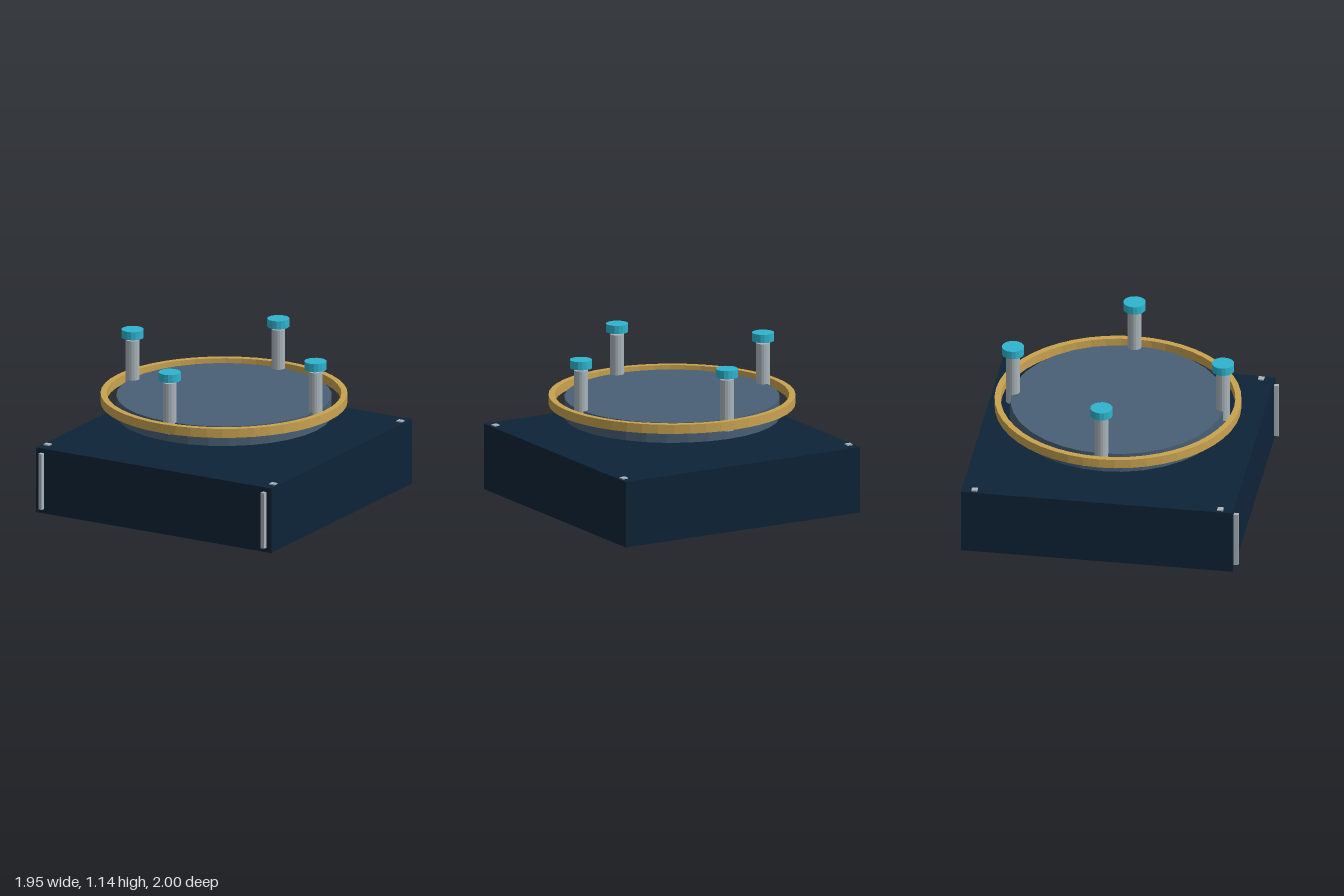
import * as THREE from 'three';

const mat = (name, color) => {
  const m = new THREE.MeshStandardMaterial({ color });
  m.name = name;
  return m;
};

// Faceted copy of a geometry
function faceted(geo) {
  const g = geo.index ? geo.toNonIndexed() : geo;
  g.computeVertexNormals();
  return g;
}

export function createModel() {
  const navy = mat('navy', 0x0d2337);
  const slate = mat('slate', 0x496075);
  const gold = mat('gold', 0xc9a350);
  const steel = mat('steel', 0xa9b4ba);
  const cyan = mat('cyan', 0x2eb4ce);

  const model = new THREE.Group();
  model.name = 'model';
  const body = new THREE.Group();
  body.name = 'body';
  body.position.z = -0.0175;
  model.add(body);

  const add = (name, geo, material, x, y, z) => {
    const mesh = new THREE.Mesh(geo, material);
    mesh.name = name;
    mesh.position.set(x, y, z);
    body.add(mesh);
  };
  // Upright cylinder between two heights
  const drum = (name, r, y0, y1, sides, material, x = 0, z = 0) =>
    add(name, faceted(new THREE.CylinderGeometry(r, r, y1 - y0, sides)), material, x, (y0 + y1) / 2, z);

  // Base block
  add('base', new THREE.BoxGeometry(1.953, 0.482, 1.965), navy, 0, 0.241, 0);

  // Corner pads on top and upright strips on the front
  for (const sx of [-1, 1]) {
    for (const sz of [-1, 1]) {
      add('cornerPad', new THREE.BoxGeometry(0.043, 0.02, 0.043), steel, sx * 0.937, 0.481, sz * 0.888);
    }
    add('frontStrip', new THREE.BoxGeometry(0.028, 0.415, 0.045), steel, sx * 0.923, 0.242, 0.995);
  }

  // Floating disc
  drum('disc', 0.77, 0.623, 0.77, 32, slate);

  // Open ring around the disc
  const section = [[0.882, 0.718], [0.882, 0.785], [0.838, 0.785], [0.838, 0.718], [0.882, 0.718]];
  const ring = new THREE.LatheGeometry(section.map(([r, y]) => new THREE.Vector2(r, y)), 48);
  add('ring', faceted(ring), gold, 0, 0, 0);

  // Four posts, each with a cap hovering above it
  for (const [x, z] of [[1, 0], [-1, 0], [0, 1], [0, -1]]) {
    drum('post', 0.05, 0.69, 1.064, 16, steel, x * 0.759, z * 0.759);
    drum('postCap', 0.08, 1.081, 1.141, 16, cyan, x * 0.759, z * 0.759);
  }

  return model;
}
